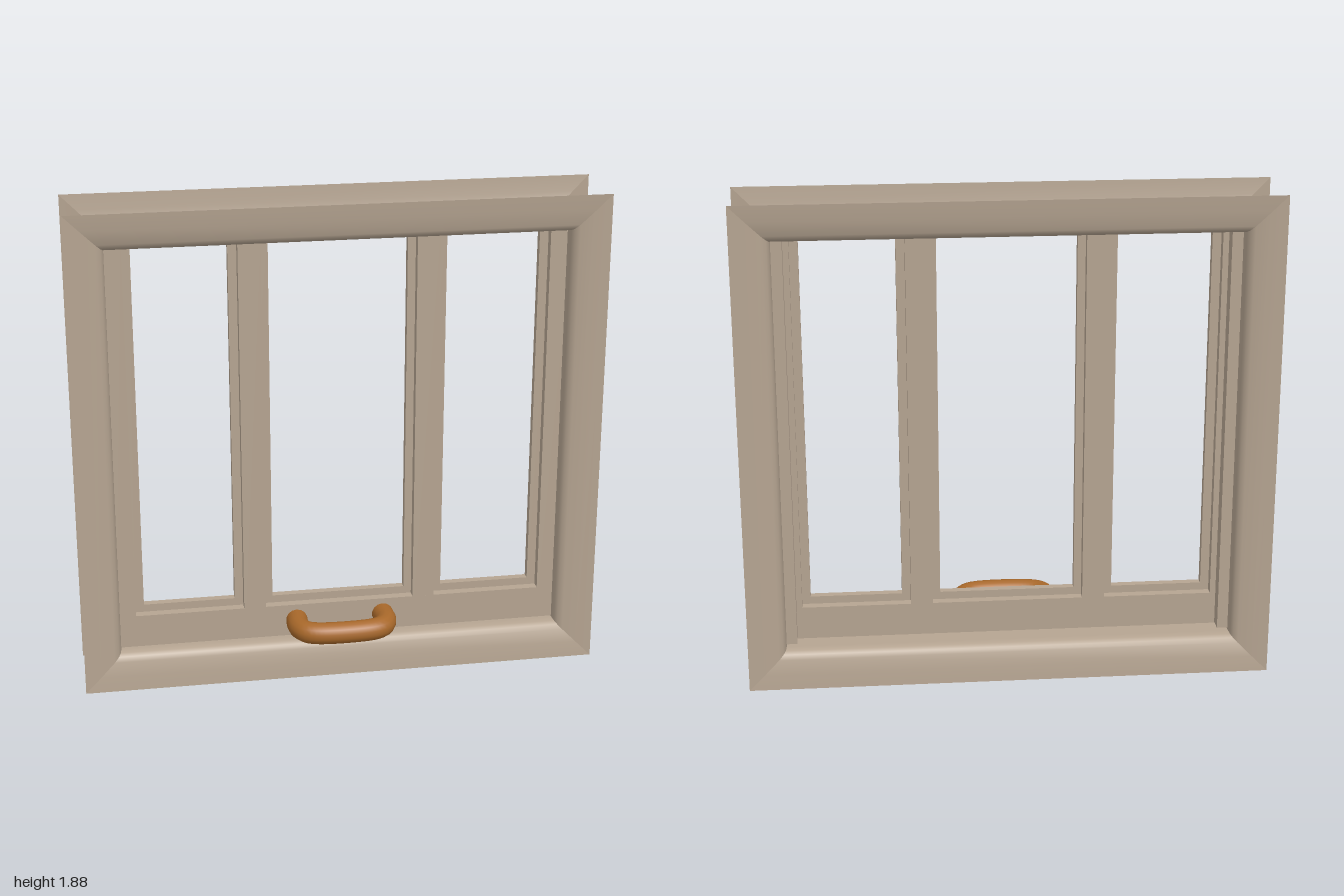
import * as THREE from 'three';

const W = 1, H = 0.94; // half width and half height of the casing
const TOP = 1.762;     // top of the sash bars

// Open casing: a flared profile swept round a rectangle with mitred corners
function casingGeometry(profile) {
  const pos = [], index = [];
  const corners = [[-1, -1], [1, -1], [1, 1], [-1, 1]];
  const n = profile.length;
  corners.forEach((a, s) => {
    const b = corners[(s + 1) % 4];
    const base = pos.length / 3;
    for (const [inset, z] of profile) {
      for (const c of [a, b]) pos.push(c[0] * (W - inset), H + c[1] * (H - inset), z);
    }
    for (let i = 0; i < n - 1; i++) {
      const p = base + i * 2;
      index.push(p, p + 2, p + 1, p + 1, p + 2, p + 3);
    }
  });
  const g = new THREE.BufferGeometry();
  g.setAttribute('position', new THREE.Float32BufferAttribute(pos, 3));
  g.setIndex(index);
  g.computeVertexNormals();
  return g;
}

export function createModel() {
  const model = new THREE.Group();
  const wood = new THREE.MeshStandardMaterial({ color: 0xb5a491 });
  wood.name = 'paintedWood';
  wood.side = THREE.DoubleSide;
  const bronze = new THREE.MeshStandardMaterial({ color: 0xa8682a });
  bronze.name = 'bronze';

  const add = (name, geometry, material, parent = model) => {
    const mesh = new THREE.Mesh(geometry, material);
    mesh.name = name;
    parent.add(mesh);
    return mesh;
  };
  // Box given by its limits on each axis
  const bar = (name, parent, x0, x1, y0, y1, z0, z1) => {
    const m = add(name, new THREE.BoxGeometry(x1 - x0, y1 - y0, z1 - z0), wood, parent);
    m.position.set((x0 + x1) / 2, (y0 + y1) / 2, (z0 + z1) / 2);
  };

  // Casing with front and back flanges
  add('casing', casingGeometry([
    [0, 0.11], [0.06, 0.105], [0.115, 0.095], [0.132, 0.083], [0.141, 0.066], [0.144, 0.04],
    [0.144, -0.14], [0.141, -0.166], [0.132, -0.183], [0.115, -0.195], [0.06, -0.205], [0, -0.21],
  ]), wood);

  // Sash: bottom rail, side stiles and mullions, each with a thin glazing tongue
  const sash = new THREE.Group();
  sash.name = 'sash';
  model.add(sash);
  const zf = 0.03, zb = -0.07, tf = -0.005, tb = -0.035;
  bar('bottomRail', sash, -0.86, 0.86, 0.146, 0.275, zb, zf);
  bar('bottomRailTongue', sash, -0.8, 0.8, 0.27, 0.305, tb, tf);
  for (const [side, s] of [['left', 1], ['right', -1]]) {
    const upright = (name, a, b, z0, z1) =>
      bar(side + name, sash, Math.min(s * a, s * b), Math.max(s * a, s * b), 0.15, TOP, z0, z1);
    upright('Stile', 0.793, 0.875, zb, zf);
    upright('StileTongue', 0.76, 0.8, tb, tf);
    upright('StileStop', 0.815, 0.874, -0.127, zb);
    upright('Mullion', 0.29, 0.375, zb, zf);
    upright('MullionTongue', 0.26, 0.408, tb, tf);
  }

  // Bent pull handle on the bottom rail
  const path = new THREE.CatmullRomCurve3([
    [-0.17, 0.02], [-0.17, 0.1], [-0.147, 0.145], [-0.1, 0.165],
    [0.1, 0.165], [0.147, 0.145], [0.17, 0.1], [0.17, 0.02],
  ].map(([x, z]) => new THREE.Vector3(x, 0.212, z)), false, 'centripetal');
  add('handle', new THREE.TubeGeometry(path, 36, 0.042, 14), bronze);

  return model;
}
